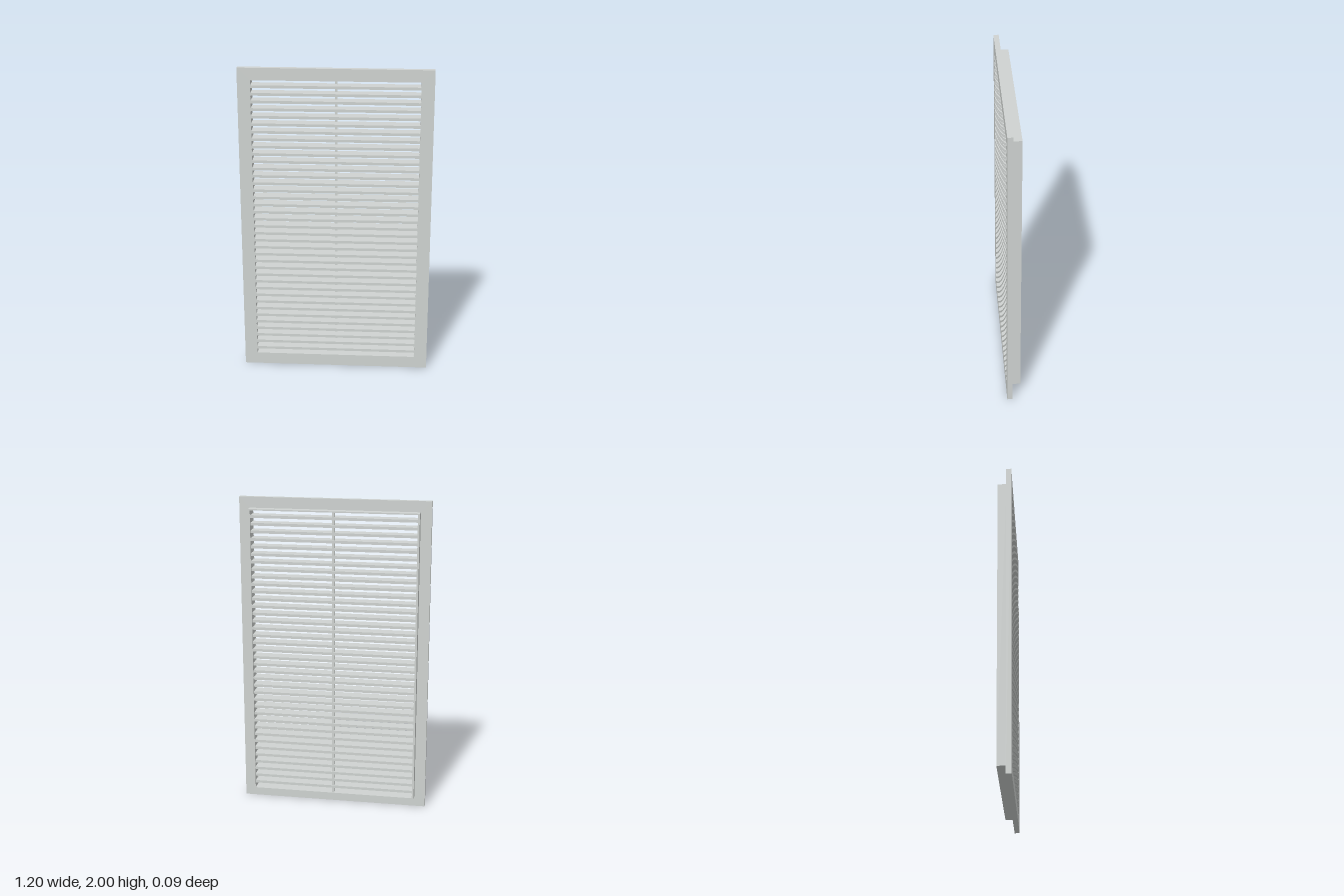
import * as THREE from 'three';

const W = 1.2, H = 2, SLOTS = 39, PITCH = 0.0478, GAP = 0.031, SLOT_HALF = 0.52;
const FRONT = 0.044, SEAM = 0.011, BACK = -0.045, SLAT_BACK = -0.036;
const FIELD_HALF = ((SLOTS - 1) * PITCH + GAP) / 2; // half height of the slotted field

// Rectangle outline, optionally with slightly rounded corners
function rect(target, x0, y0, x1, y1, r = 0) {
  if (!r) {
    target.moveTo(x0, y0).lineTo(x1, y0).lineTo(x1, y1).lineTo(x0, y1).closePath();
    return target;
  }
  target.moveTo(x0 + r, y0).lineTo(x1 - r, y0).quadraticCurveTo(x1, y0, x1, y0 + r);
  target.lineTo(x1, y1 - r).quadraticCurveTo(x1, y1, x1 - r, y1);
  target.lineTo(x0 + r, y1).quadraticCurveTo(x0, y1, x0, y1 - r);
  target.lineTo(x0, y0 + r).quadraticCurveTo(x0, y0, x0 + r, y0);
  return target;
}

export function createModel() {
  const grille = new THREE.Group();
  grille.name = 'ventilationGrille';
  const grey = new THREE.MeshStandardMaterial({ color: 0xcfd3d1 });
  grey.name = 'lightGrey';

  const add = (name, geometry, y = 0, z = 0) => {
    const mesh = new THREE.Mesh(geometry, grey);
    mesh.name = name;
    mesh.position.set(0, y, z);
    grille.add(mesh);
  };
  const extrude = (shape, depth) =>
    new THREE.ExtrudeGeometry(shape, { depth, bevelEnabled: false, curveSegments: 3 });
  const slotY = (i) => H / 2 + (i - (SLOTS - 1) / 2) * PITCH;

  // Front plate with a column of slots
  const plate = rect(new THREE.Shape(), -W / 2, 0, W / 2, H);
  for (let i = 0; i < SLOTS; i++) {
    const y = slotY(i);
    plate.holes.push(rect(new THREE.Path(), -SLOT_HALF, y - GAP / 2, SLOT_HALF, y + GAP / 2, 0.006));
  }
  add('frontPlate', extrude(plate, FRONT - SEAM), 0, SEAM);

  // Shallow collar behind the plate
  const collar = rect(new THREE.Shape(), -0.532, 0.068, 0.532, H - 0.068);
  collar.holes.push(
    rect(new THREE.Path(), -SLOT_HALF, H / 2 - FIELD_HALF, SLOT_HALF, H / 2 + FIELD_HALF));
  add('rearCollar', extrude(collar, SEAM - BACK), 0, BACK);

  // Slats continuing the plate's bars rearwards
  const slat = new THREE.BoxGeometry(SLOT_HALF * 2, PITCH - GAP, SEAM - SLAT_BACK);
  for (let i = 0; i < SLOTS - 1; i++) {
    add('slat', slat, slotY(i) + PITCH / 2, (SEAM + SLAT_BACK) / 2);
  }

  // Upright rib tying the slats together
  add('centreRib', new THREE.BoxGeometry(0.016, FIELD_HALF * 2, 0.018), H / 2, -0.023);

  return grille;
}
